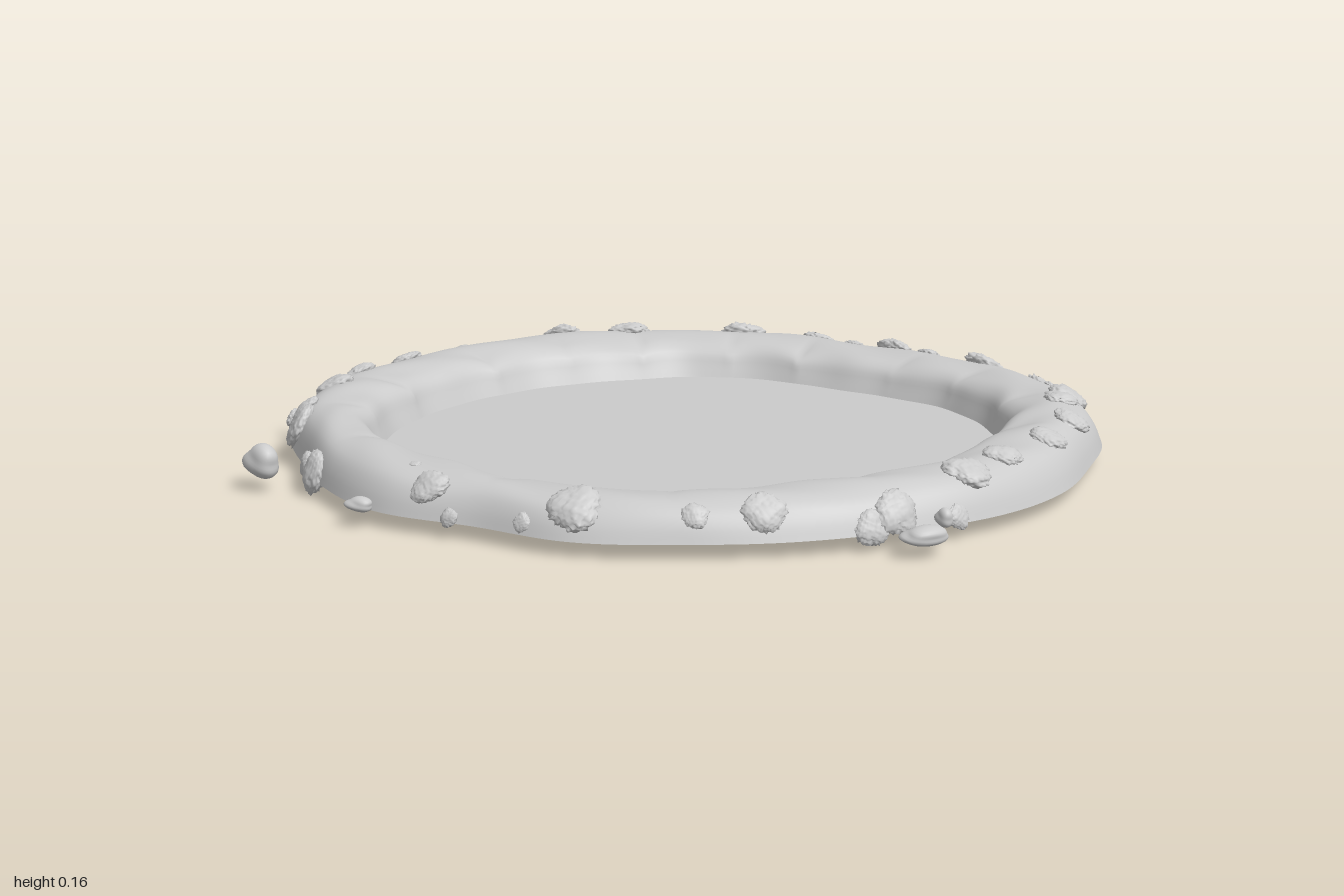
import * as THREE from 'three';
import { mergeVertices } from 'three/addons/utils/BufferGeometryUtils.js';

const TAU = Math.PI * 2;
const grey = new THREE.MeshStandardMaterial({ color: 0xcccccc, side: THREE.DoubleSide });

// Values every 15 degrees, from +x turning towards +z
const OUTER = [0.99, 0.985, 0.96, 0.95, 0.945, 0.957, 0.925, 0.97, 0.96, 0.95, 0.98, 0.995,
  0.995, 0.995, 1.0, 1.015, 1.0, 1.01, 0.98, 0.98, 0.995, 1.0, 1.005, 0.98];
const INNER = [0.715, 0.735, 0.705, 0.7, 0.725, 0.71, 0.71, 0.7, 0.74, 0.765, 0.745, 0.725,
  0.715, 0.71, 0.71, 0.71, 0.73, 0.72, 0.69, 0.7, 0.735, 0.745, 0.75, 0.73];
const CREST = [0.112, 0.11, 0.105, 0.1, 0.096, 0.094, 0.095, 0.104, 0.112, 0.115, 0.117, 0.115,
  0.11, 0.112, 0.115, 0.112, 0.106, 0.105, 0.1, 0.102, 0.104, 0.108, 0.112, 0.115];
// Creases between the worn lobes: angle in degrees, strength
const CREASES = [[12, 0.7], [30, 0.6], [62, 0.5], [91, 1], [124, 0.9], [147, 0.5], [168, 1], [195, 1],
  [213, 0.5], [229, 0.9], [247, 0.6], [262, 1], [285, 0.6], [301, 0.6], [322, 0.5], [345, 1]];
// Cross-section: fraction from inner foot to outer foot, fraction of crest height
const PROFILE = new THREE.CatmullRomCurve3([[0, 0.1], [0.06, 0.4], [0.13, 0.72], [0.24, 0.9], [0.4, 0.98],
  [0.55, 1], [0.7, 0.95], [0.83, 0.8], [0.93, 0.5], [1, 0.1]].map(([s, h]) => new THREE.Vector3(s, h, 0)))
  .getPoints(28);

// Smooth periodic lookup
function around(table, a) {
  const n = table.length, u = (((a / TAU) % 1) + 1) % 1 * n, i = Math.floor(u), t = u - i;
  const [p, q, r, s] = [-1, 0, 1, 2].map(k => table[(i + k + n) % n]);
  return q + 0.5 * t * (r - p + t * (2 * p - 5 * q + 4 * r - s + t * (3 * (q - r) + s - p)));
}

function crease(a) {
  let c = 0;
  for (const [deg, k] of CREASES) {
    const d = Math.atan2(Math.sin(a - deg * TAU / 360), Math.cos(a - deg * TAU / 360));
    c += k * Math.exp(-Math.abs(d) / 0.035);
  }
  return c;
}

// Point of the rim at an angle and a profile sample
function rimPoint(a, { x: s, y: h }) {
  const inner = around(INNER, a), outer = around(OUTER, a), c = crease(a);
  const innerSide = Math.exp(-(((s - 0.22) / 0.25) ** 2));
  const r = inner + (outer - inner) * s - 0.02 * c * innerSide * h
    + 0.004 * Math.sin(a * 23 + 1) * innerSide;
  const y = h * around(CREST, a) * (1 - 0.14 * c * innerSide)
    + 0.002 * h * Math.sin(a * 17 + s * 9);
  return new THREE.Vector3(r * Math.cos(a), y, r * Math.sin(a));
}

function rimGeometry() {
  const N = 360, M = PROFILE.length, pos = [], idx = [];
  for (let i = 0; i < N; i++) for (const p of PROFILE) pos.push(...rimPoint(i / N * TAU, p));
  for (let i = 0; i < N; i++) for (let j = 0; j < M - 1; j++) {
    const a = i * M + j, b = ((i + 1) % N) * M + j;
    idx.push(a, b, a + 1, b, b + 1, a + 1);
  }
  const g = new THREE.BufferGeometry();
  g.setAttribute('position', new THREE.Float32BufferAttribute(pos, 3));
  g.setIndex(idx);
  g.computeVertexNormals();
  return g;
}

// Rim surface point and normal under a plan position
function onRim(x, z) {
  const a = Math.atan2(z, x), inner = around(INNER, a);
  const s = THREE.MathUtils.clamp((Math.hypot(x, z) - inner) / (around(OUTER, a) - inner), 0, 0.98);
  let j = PROFILE.findIndex(p => p.x >= s);
  j = THREE.MathUtils.clamp(j, 1, PROFILE.length - 2);
  const at = rimPoint(a, PROFILE[j]);
  const across = rimPoint(a, PROFILE[j + 1]).sub(rimPoint(a, PROFILE[j - 1]));
  const along = new THREE.Vector3(-Math.sin(a), 0, Math.cos(a));
  return { y: at.y, normal: along.cross(across).normalize() };
}

// Welded sphere whose radius follows a rule of direction
function blob(detail, rule) {
  let g = new THREE.IcosahedronGeometry(1, detail);
  g.deleteAttribute('normal');
  g.deleteAttribute('uv');
  g = mergeVertices(g, 1e-4);
  const p = g.attributes.position, v = new THREE.Vector3();
  for (let i = 0; i < p.count; i++) {
    v.fromBufferAttribute(p, i).normalize();
    v.multiplyScalar(rule(v));
    p.setXYZ(i, v.x, v.y, v.z);
  }
  g.computeVertexNormals();
  return g;
}

// Moss clumps: x, z, radius
const MOSS = [
  [-0.16, -0.95, 0.045], [-0.04, -0.94, 0.035], [0.09, -0.93, 0.06], [0.21, -0.89, 0.035],
  [0.39, -0.86, 0.055], [0.58, -0.79, 0.05], [0.64, -0.73, 0.035], [0.75, -0.56, 0.052],
  [0.77, -0.48, 0.042], [0.87, -0.31, 0.045], [0.9, -0.11, 0.045], [0.89, 0.11, 0.045],
  [0.87, 0.26, 0.055], [0.9, 0.36, 0.028], [0.81, 0.48, 0.052], [0.78, 0.54, 0.04],
  [0.6, 0.69, 0.048], [0.48, 0.78, 0.03], [0.24, 0.88, 0.06], [0.13, 0.92, 0.022]];
const MOSS_RIGHT = [
  [-0.06, 0.93, 0.022], [-0.13, 0.9, 0.045], [-0.22, 0.83, 0.014], [-0.55, 0.78, 0.05],
  [-0.62, 0.72, 0.03], [-0.77, 0.55, 0.055], [-0.8, 0.49, 0.04], [-0.88, 0.27, 0.05],
  [-0.95, 0.36, 0.024], [-0.93, 0.11, 0.045], [-0.94, -0.1, 0.045], [-0.76, -0.57, 0.055],
  [-0.61, -0.69, 0.055], [-0.6, -0.79, 0.055], [-0.36, -0.88, 0.06]];

// Loose pebbles: x, y, z, half sizes, turn
const PEBBLES = [
  [-0.9, 0.03, -0.59, 0.026, 0.024, 0.052, 0.1], [-0.93, 0.05, -0.35, 0.052, 0.035, 0.042, -0.5],
  [0.9, 0.022, 0.52, 0.04, 0.02, 0.058, 0.5], [-0.68, 0.045, 0.81, 0.052, 0.038, 0.036, 0.3],
  [-0.29, 0.026, 0.95, 0.036, 0.016, 0.024, 0], [0.9, 0.04, 0.43, 0.025, 0.02, 0.018, 0.6]];

export function createModel() {
  const group = new THREE.Group();
  const add = (name, geometry) => {
    const m = new THREE.Mesh(geometry, grey);
    m.name = name;
    group.add(m);
    return m;
  };

  add('stoneRim', rimGeometry());

  // Flat pool floor with a small gap at its edge
  const edge = Array.from({ length: 240 }, (_, i) => {
    const a = -i / 240 * TAU, r = around(INNER, a) + 0.004;
    return new THREE.Vector2(r * Math.cos(a), -r * Math.sin(a));
  });
  const floor = new THREE.Shape(edge);
  floor.holes.push(new THREE.Path().absarc(-0.527, -0.537, 0.013, 0, TAU, true));
  add('waterSurface', new THREE.ShapeGeometry(floor).rotateX(-Math.PI / 2)).position.y = 0.012;

  // Knobbly moss, seated on the slope of the rim
  const mossShapes = [0, 2, 4].map(k => blob(8, v => 1
    + 0.1 * Math.sin(13 * v.x + k) * Math.sin(12 * v.y + 2 * k) * Math.sin(14 * v.z)
    + 0.08 * Math.sin(27 * v.x + 9 * v.z) * Math.sin(25 * v.z - 7 * v.y + k)
    + 0.1 * Math.sin(3 * v.x + k) * Math.cos(4 * v.z - k)));
  const up = new THREE.Vector3(0, 1, 0);
  [...MOSS, ...MOSS_RIGHT].forEach(([x, z, r], i) => {
    const { y, normal } = onRim(x, z);
    const m = add('mossClump', mossShapes[i % 3]);
    m.position.set(x, y, z);
    m.scale.set(r, r * 0.42, r * 0.95);
    m.quaternion.setFromUnitVectors(up, normal).multiply(
      new THREE.Quaternion().setFromAxisAngle(up, i * 2.4));
  });

  // Smooth, slightly angular pebbles
  const pebble = blob(5, v => 1 + 0.1 * Math.sin(3 * v.x + 1) * Math.cos(2.5 * v.z) - 0.08 * Math.sin(4 * v.y + 2 * v.x));
  for (const [x, y, z, sx, sy, sz, turn] of PEBBLES) {
    const m = add('pebble', pebble);
    m.position.set(x, y, z);
    m.scale.set(sx, sy, sz);
    m.rotation.y = -turn;
  }
  return group;
}
